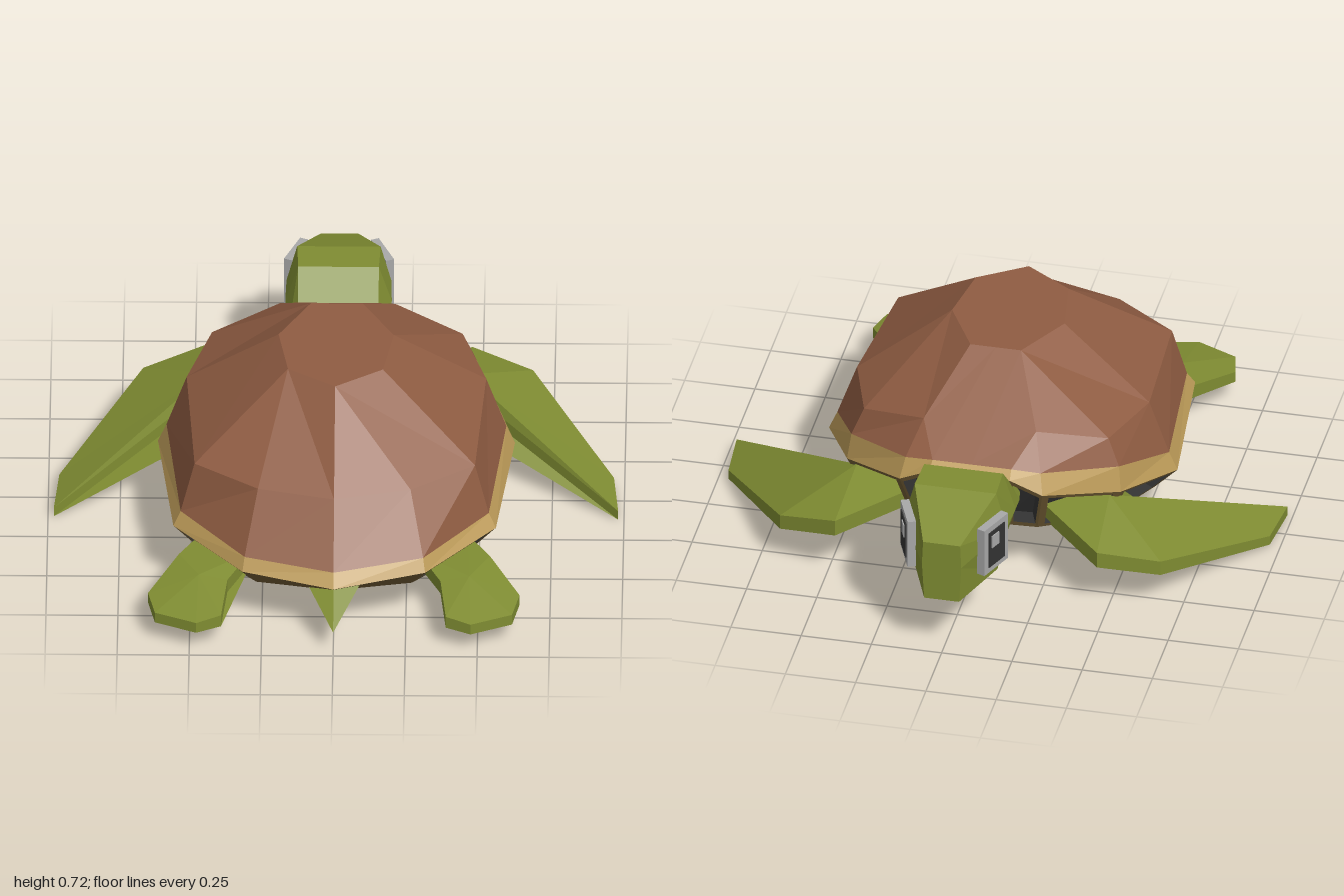
import * as THREE from 'three';
import { mergeGeometries } from 'three/addons/utils/BufferGeometryUtils.js';

const mat = (color, side = THREE.FrontSide) =>
  new THREE.MeshStandardMaterial({ color, flatShading: true, side });
const v = (p) => new THREE.Vector3(...p);

// Flat polygons, fanned into triangles and turned to face away from a centre
function facets(polys, center) {
  const c = v(center), out = [];
  for (const poly of polys) {
    const pts = poly.map(v);
    const mid = pts.reduce((a, p) => a.add(p), new THREE.Vector3()).divideScalar(pts.length);
    const n = new THREE.Vector3();
    for (let i = 1; i < pts.length - 1; i++) {
      n.add(pts[i].clone().sub(pts[0]).cross(pts[i + 1].clone().sub(pts[0])));
    }
    if (n.dot(mid.sub(c)) < 0) pts.reverse();
    for (let i = 1; i < pts.length - 1; i++) {
      for (const p of [pts[0], pts[i], pts[i + 1]]) out.push(p.x, p.y, p.z);
    }
  }
  const g = new THREE.BufferGeometry();
  g.setAttribute('position', new THREE.Float32BufferAttribute(out, 3));
  g.computeVertexNormals();
  return g;
}

const flip = (polys) => polys.map((poly) => poly.map(([x, y, z]) => [-x, y, z]));

// Faces of the +x half joined with their mirror image
const symmetric = (polys, center) =>
  mergeGeometries([facets(polys, center), facets(flip(polys), center)]);

// Band of quads between two open rows of points
const band = (a, b) => a.slice(1).map((_, i) => [a[i], a[i + 1], b[i + 1], b[i]]);

// Paddle: raised ridge point over a top outline, with a lower outline beneath
function paddle(top, ridge, lowerY) {
  const bottom = top.map(([x, , z], i) => [x, lowerY[i], z]);
  const polys = [bottom];
  top.forEach((p, i) => {
    const j = (i + 1) % top.length;
    polys.push([ridge, p, top[j]], [p, top[j], bottom[j], bottom[i]]);
  });
  return polys;
}

export function createModel() {
  const group = new THREE.Group();
  const add = (name, geometry, material, parent = group) => {
    const m = new THREE.Mesh(geometry, material);
    m.name = name;
    parent.add(m);
    return m;
  };
  const shellMat = mat(0x8f5c42), rimMat = mat(0xbb9a58), bellyMat = mat(0x705b34);
  const skin = mat(0x7f8c32), dark = mat(0x333333), grey = mat(0xa8a8a8);
  const core = [0, 0.3, 0.1];

  // Shell rings, each from the head end to the tail end on the +x side
  const t = [[0, 0.72, -0.14], [0.09, 0.72, -0.14], [0.2, 0.72, 0.06], [0.165, 0.72, 0.28], [0, 0.72, 0.39]];
  const m = [null, [0.2, 0.557, -0.39], [0.435, 0.5, -0.29], [0.52, 0.49, -0.02],
    [0.487, 0.46, 0.487], [0.265, 0.46, 0.645], [0, 0.463, 0.715]];
  const base = [[0, 0.475, -0.52], [0.14, 0.475, -0.52], [0.24, 0.46, -0.5], [0.476, 0.4, -0.307],
    [0.59, 0.294, -0.02], [0.535, 0.278, 0.51], [0.31, 0.265, 0.78], [0, 0.257, 0.865]];
  const rim = [[0, 0.45, -0.555], [0.143, 0.45, -0.555], [0.254, 0.39, -0.534], [0.487, 0.31, -0.328],
    [0.62, 0.225, -0.02], [0.56, 0.23, 0.53], [0.317, 0.22, 0.805], [0, 0.21, 0.9]];
  const belly = [[0, 0.22, -0.48], [0.13, 0.22, -0.48], [0.22, 0.21, -0.46], [0.43, 0.18, -0.3],
    [0.54, 0.145, -0.02], [0.45, 0.075, 0.46], [0.27, 0.085, 0.66], [0, 0.09, 0.72]];

  // Domed shell
  add('shell', symmetric([
    t,
    [t[0], t[1], m[1], base[1], base[0]],
    [t[1], m[1], m[2], m[3], t[2]],
    [t[2], m[3], m[4], t[3]],
    [t[3], m[4], m[5], m[6], t[4]],
    [base[1], base[2], m[1]],
    ...band(m.slice(1), base.slice(2)),
  ], core), shellMat);
  add('shellRim', symmetric(band(base, rim), core), rimMat);

  // Belly and lower sides, with recessed limb openings
  const sides = [], reveals = [], hollows = [];
  band(rim, belly).forEach((quad, i) => {
    if (![1, 2, 3, 5].includes(i)) return sides.push(quad);
    const c = quad.reduce((a, p) => a.add(v(p)), new THREE.Vector3()).divideScalar(4);
    const inner = quad.map((p) => v(p).lerp(c, 0.18).toArray());
    const deep = inner.map((p) => v(p).lerp(v(core), 0.1).toArray());
    hollows.push(deep);
    quad.forEach((p, k) => {
      const n = (k + 1) % 4;
      sides.push([p, quad[n], inner[n], inner[k]]);
      reveals.push([inner[k], inner[n], deep[n], deep[k]]);
    });
  });
  const heart = [0, 0.115, 0.2];
  const plates = belly.slice(1).map((p, i) => [heart, belly[i], p]);
  add('belly', symmetric([...plates, ...sides], core), bellyMat);
  add('openingWalls', symmetric(reveals, core), mat(0x333333, THREE.DoubleSide));
  add('openings', symmetric(hollows, core), dark);

  // Head and neck: six-sided cross-sections [z, top w, top y, mid w, mid y, low w, low y]
  const rings = [
    [-1, 0.066, 0.45, 0.07, 0.36, 0.062, 0.22],
    [-0.78, 0.145, 0.54, 0.182, 0.4, 0.15, 0.23],
    [-0.65, 0.14, 0.54, 0.185, 0.4, 0.135, 0.235],
    [-0.53, 0.14, 0.425, 0.172, 0.36, 0.11, 0.27],
    [-0.42, 0.12, 0.38, 0.15, 0.34, 0.09, 0.29],
  ].map(([z, a, ya, b, yb, c, yc]) =>
    [[-a, ya, z], [a, ya, z], [b, yb, z], [c, yc, z], [-c, yc, z], [-b, yb, z]]);
  const headFaces = [rings[0], rings[4]];
  for (let i = 0; i < 4; i++) {
    for (let k = 0; k < 6; k++) {
      const n = (k + 1) % 6;
      headFaces.push([rings[i][k], rings[i][n], rings[i + 1][n], rings[i + 1][k]]);
    }
  }
  add('head', facets(headFaces, [0, 0.36, -0.7]), skin);

  // Flippers, rear legs and eyes, left and right
  const flipper = paddle(
    [[0.2, 0.28, -0.38], [0.466, 0.235, -0.614], [0.677, 0.185, -0.545], [0.963, 0.04, -0.085],
      [0.98, 0.035, 0.12], [0.556, 0.205, -0.233], [0.42, 0.23, -0.16]],
    [0.45, 0.3, -0.34], [0.22, 0.175, 0.13, 0.005, 0, 0.16, 0.18]);
  const leg = paddle(
    [[0.46, 0.17, 0.48], [0.54, 0.165, 0.61], [0.645, 0.12, 0.79], [0.62, 0.11, 0.9],
      [0.476, 0.11, 0.965], [0.39, 0.12, 0.93], [0.37, 0.15, 0.75], [0.29, 0.17, 0.6]],
    [0.47, 0.165, 0.74], [0.12, 0.115, 0.08, 0.07, 0.07, 0.075, 0.1, 0.12]);
  for (const s of [1, -1]) {
    const side = s > 0 ? 'left' : 'right';
    const place = (polys, [x, y, z]) => facets(s > 0 ? polys : flip(polys), [s * x, y, z]);
    add(side + 'Flipper', place(flipper, [0.58, 0.18, -0.3]), skin);
    add(side + 'RearLeg', place(leg, [0.47, 0.125, 0.74]), skin);

    const eye = new THREE.Group();
    eye.name = side + 'Eye';
    eye.position.set(s * 0.15, 0.385, -0.858);
    eye.rotation.y = s * 1.958;
    add('eyeFrame', new THREE.BoxGeometry(0.145, 0.185, 0.03), grey, eye);
    add('pupil', new THREE.BoxGeometry(0.095, 0.14, 0.012), dark, eye).position.z = 0.013;
    add('highlight', new THREE.BoxGeometry(0.042, 0.048, 0.01), grey, eye).position.set(s * 0.014, 0.03, 0.018);
    group.add(eye);
  }

  // Tail: a four-sided spike
  const tip = [0, 0.09, 0.99];
  const root = [[0, 0.19, 0.82], [0.09, 0.165, 0.8], [0, 0.07, 0.8], [-0.09, 0.165, 0.8]];
  add('tail', facets([root, ...root.map((p, i) => [p, root[(i + 1) % 4], tip])], [0, 0.13, 0.85]), skin);

  return group;
}
